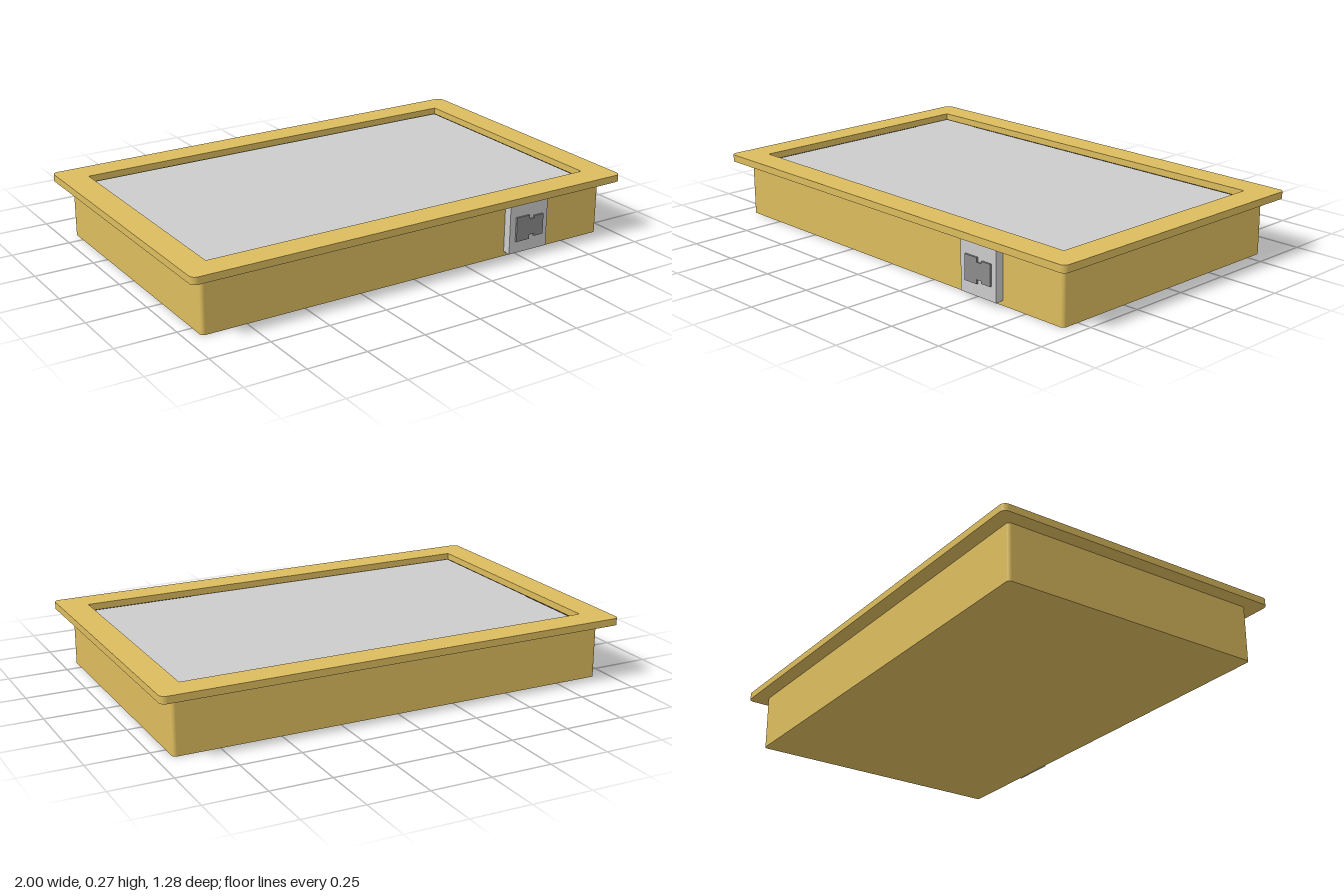
import * as THREE from 'three';

const yellow = new THREE.MeshStandardMaterial({ color: 0xdcbc5e });
const grey = new THREE.MeshStandardMaterial({ color: 0xcccccc });
const black = new THREE.MeshStandardMaterial({ color: 0x1c1c1c });
const darkGrey = new THREE.MeshStandardMaterial({ color: 0x8c8c8c });

function add(group, name, geometry, material, x = 0, y = 0, z = 0) {
  const mesh = new THREE.Mesh(geometry, material);
  mesh.name = name;
  mesh.position.set(x, y, z);
  group.add(mesh);
  return mesh;
}

// Rectangle outline with rounded corners, centred on the origin
function roundedRect(w, d, r) {
  const a = w / 2, b = d / 2, s = new THREE.Shape();
  s.absarc(a - r, b - r, r, 0, Math.PI / 2);
  s.absarc(-a + r, b - r, r, Math.PI / 2, Math.PI);
  s.absarc(-a + r, -b + r, r, Math.PI, Math.PI * 1.5);
  s.absarc(a - r, -b + r, r, Math.PI * 1.5, Math.PI * 2);
  s.closePath();
  return s;
}

// Extrudes a plan outline upwards from y = 0
function slab(shape, height) {
  return new THREE.ExtrudeGeometry(shape, { depth: height, bevelEnabled: false, curveSegments: 8 })
    .rotateX(-Math.PI / 2);
}

export function createModel() {
  const model = new THREE.Group();
  model.name = 'panelDisplay';

  // Housing behind the panel
  add(model, 'housing', slab(roundedRect(1.876, 1.152, 0.015), 0.236), yellow);

  // Overhanging frame with a rectangular window
  const frame = roundedRect(2, 1.28, 0.025);
  const w = 0.885, d = 0.523;
  frame.holes.push(new THREE.Path([[-w, -d], [-w, d], [w, d], [w, -d]].map(p => new THREE.Vector2(...p))));
  add(model, 'bezel', slab(frame, 0.03), yellow, 0, 0.236);

  // Recessed screen with a thin black surround
  add(model, 'screenSurround', new THREE.BoxGeometry(2 * w, 0.004, 2 * d), black, 0, 0.236, 0);
  add(model, 'screen', new THREE.BoxGeometry(1.752, 0.006, 1.028), grey, 0, 0.237, 0);

  // Connector on the front wall: mounting plate and stepped jack
  const connector = new THREE.Group();
  connector.name = 'connector';
  model.add(connector);
  add(connector, 'connectorBase', new THREE.BoxGeometry(0.188, 0.204, 0.02), grey, 0.538, 0.122, 0.583);
  add(connector, 'connectorPlate', new THREE.BoxGeometry(0.19, 0.206, 0.022), grey, 0.538, 0.122, 0.601);

  const half = [[0.472, 0.052], [0.537, 0.052], [0.537, 0.034], [0.562, 0.034], [0.562, 0.044], [0.608, 0.044]];
  const outline = [
    ...half.map(([x, y]) => new THREE.Vector2(x, -y)),
    ...half.map(([x, y]) => new THREE.Vector2(x, y)).reverse(),
  ];
  const jack = new THREE.ExtrudeGeometry(new THREE.Shape(outline), { depth: 0.02, bevelEnabled: false });
  add(connector, 'jack', jack, darkGrey, 0, 0.122, 0.6);

  return model;
}
